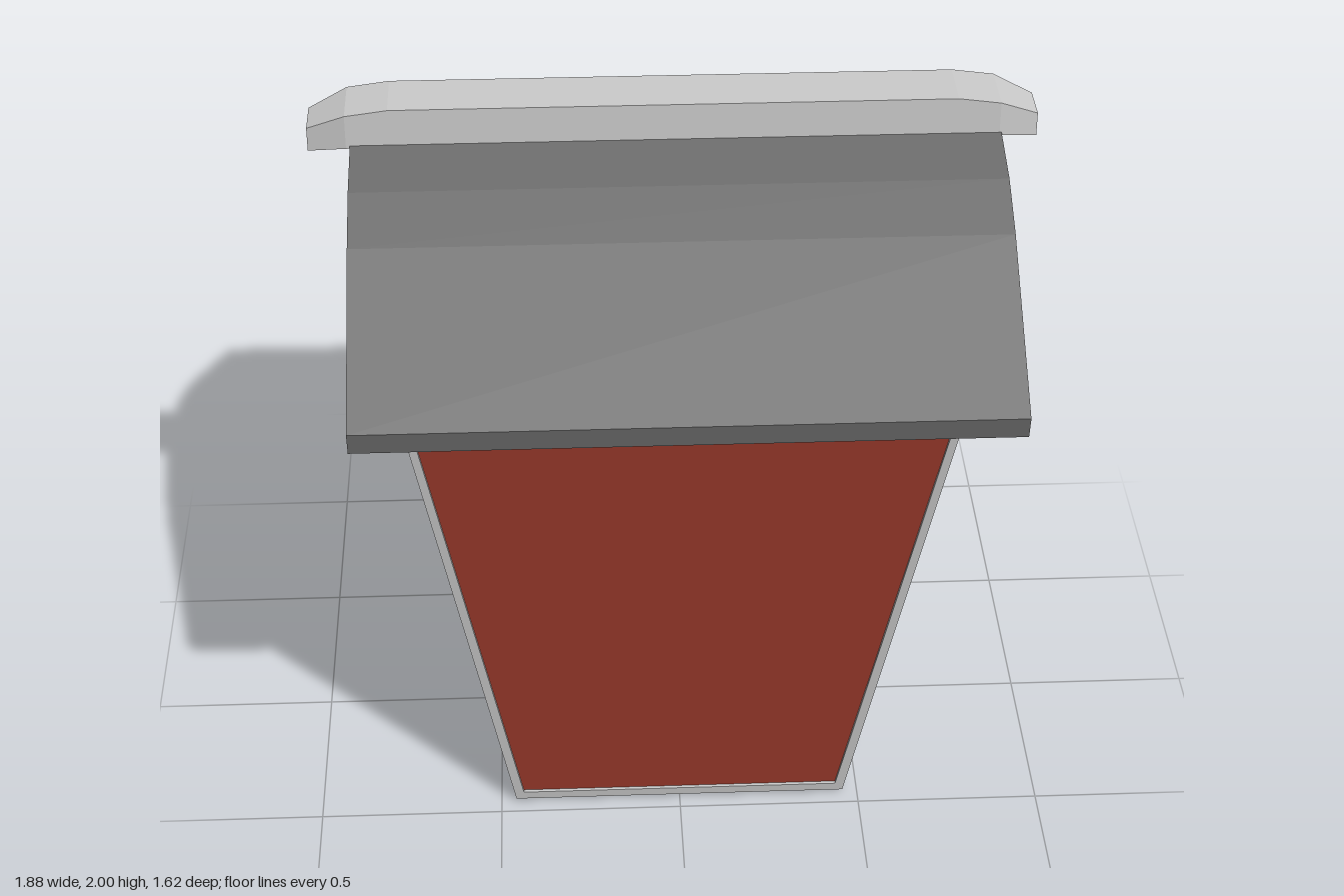
import * as THREE from 'three';

const material = (color) => new THREE.MeshStandardMaterial({ color, flatShading: true });

// Walls lean outwards: distance of a wall from the centre at height y
const wallAt = (y) => 0.457 + 0.17 * y;

const toPoints = (list) => list.map(([x, y]) => new THREE.Vector2(x, y));
// Completes a right-hand half outline with its mirror image
const mirrored = (half) => [...half, ...half.slice().reverse().filter(([x]) => x !== 0).map(([x, y]) => [-x, y])];

function extrude(outline, hole, depth) {
  const shape = new THREE.Shape(toPoints(outline));
  if (hole) shape.holes.push(new THREE.Path(toPoints(hole)));
  return new THREE.ExtrudeGeometry(shape, { depth, bevelEnabled: false });
}

function reshape(geometry, rule) {
  const p = geometry.attributes.position;
  const v = new THREE.Vector3();
  for (let i = 0; i < p.count; i++) {
    v.fromBufferAttribute(p, i);
    rule(v);
    p.setXYZ(i, v.x, v.y, v.z);
  }
  geometry.computeVertexNormals();
  return geometry;
}

export function createModel() {
  const model = new THREE.Group();
  const red = material(0x9e3b2d);
  const pale = material(0xcccccc);
  const dark = material(0x6c6c6c);

  const add = (name, geometry, mat, parent = model) => {
    const mesh = new THREE.Mesh(geometry, mat);
    mesh.name = name;
    parent.add(mesh);
    return mesh;
  };

  // Part lying on a leaning wall, from depth "from" to depth "to"
  const onWall = (name, outline, hole, from, to, turn, mat) => {
    const geometry = reshape(extrude(outline, hole, to - from), (v) => { v.z += from + wallAt(v.y); });
    add(name, geometry, mat).rotation.y = turn;
  };

  // Gable outline, shrunk by a margin
  const gable = (m, floor) => mirrored([
    [wallAt(floor) - m, floor], [wallAt(1.5) - m, 1.5 - m * 0.6], [0.4, 1.69 - m],
    [0.24, 1.762 - m], [0.08, 1.792 - m],
  ]);
  const sideWall = (m, floor) => mirrored([[wallAt(floor) - m, floor], [wallAt(1.49) - m, 1.49 - m]]);

  // Body: gable prism whose ends follow the lean of the walls
  const body = extrude(gable(0.01, 0.012), null, 1);
  reshape(body, (v) => { v.z = (v.z > 0.5 ? 1 : -1) * (wallAt(v.y) - 0.01); });
  add('body', body, red).rotation.y = Math.PI / 2;

  // Trim frames around all four walls
  for (const side of [0, 1]) {
    const turn = side * Math.PI;
    onWall('gableTrim', gable(0, 0.01), gable(0.026, 0.037), -0.012, 0, turn + Math.PI / 2, pale);
    onWall('wallTrim', sideWall(0, 0.01), sideWall(0.026, 0.037), -0.012, 0, turn, pale);
  }

  // Door with a diagonal brace
  const doorTurn = Math.PI / 2;
  onWall('doorFrame',
    mirrored([[0.255, 0], [0.325, 0.767], [0.18, 0.78], [0, 0.785]]),
    mirrored([[0.212, 0.055], [0.277, 0.72], [0.16, 0.73], [0, 0.735]]),
    -0.012, 0.047, doorTurn, pale);
  onWall('doorBrace',
    [[-0.277, 0.72], [-0.27, 0.6], [0.135, 0.055], [0.212, 0.055], [0.219, 0.125], [-0.22, 0.725]],
    null, -0.012, 0.025, doorTurn, pale);

  // Window
  onWall('windowFrame',
    mirrored([[0.205, 1.01], [0.223, 1.235], [0.12, 1.242], [0, 1.245]]),
    mirrored([[0.17, 1.055], [0.183, 1.197], [0.1, 1.204], [0, 1.207]]),
    -0.012, 0.047, doorTurn, pale);
  onWall('windowPane', mirrored([[0.18, 1.045], [0.19, 1.21]]), null, -0.012, -0.002, doorTurn, pale);

  // Curved roof slab
  const upper = mirrored([[0.812, 1.505], [0.4, 1.785], [0.25, 1.86], [0.08, 1.9]]);
  const lower = mirrored([[0.8, 1.443], [0.71, 1.5], [0.4, 1.69], [0.24, 1.762], [0.08, 1.792]]);
  const roof = extrude([...upper, ...lower.reverse()], null, 1.675);
  roof.translate(0, 0, -0.83);
  add('roof', roof, dark).rotation.y = Math.PI / 2;

  // Ridge beam with drooping, tapered ends: [x, bottom, top, half width]
  const sections = [[0.94, 1.875, 1.94, 0.055], [0.84, 1.892, 1.985, 0.08], [0.73, 1.892, 2, 0.08]];
  const ridge = new THREE.BoxGeometry(5, 2, 2, 5, 1, 1).toNonIndexed();
  reshape(ridge, (v) => {
    const [x, bottom, top, half] = sections[Math.round(2.5 - Math.abs(v.x))];
    v.set(Math.sign(v.x) * x, v.y > 0 ? top : bottom, Math.sign(v.z) * half);
  });
  add('ridgeBeam', ridge, pale);

  return model;
}
